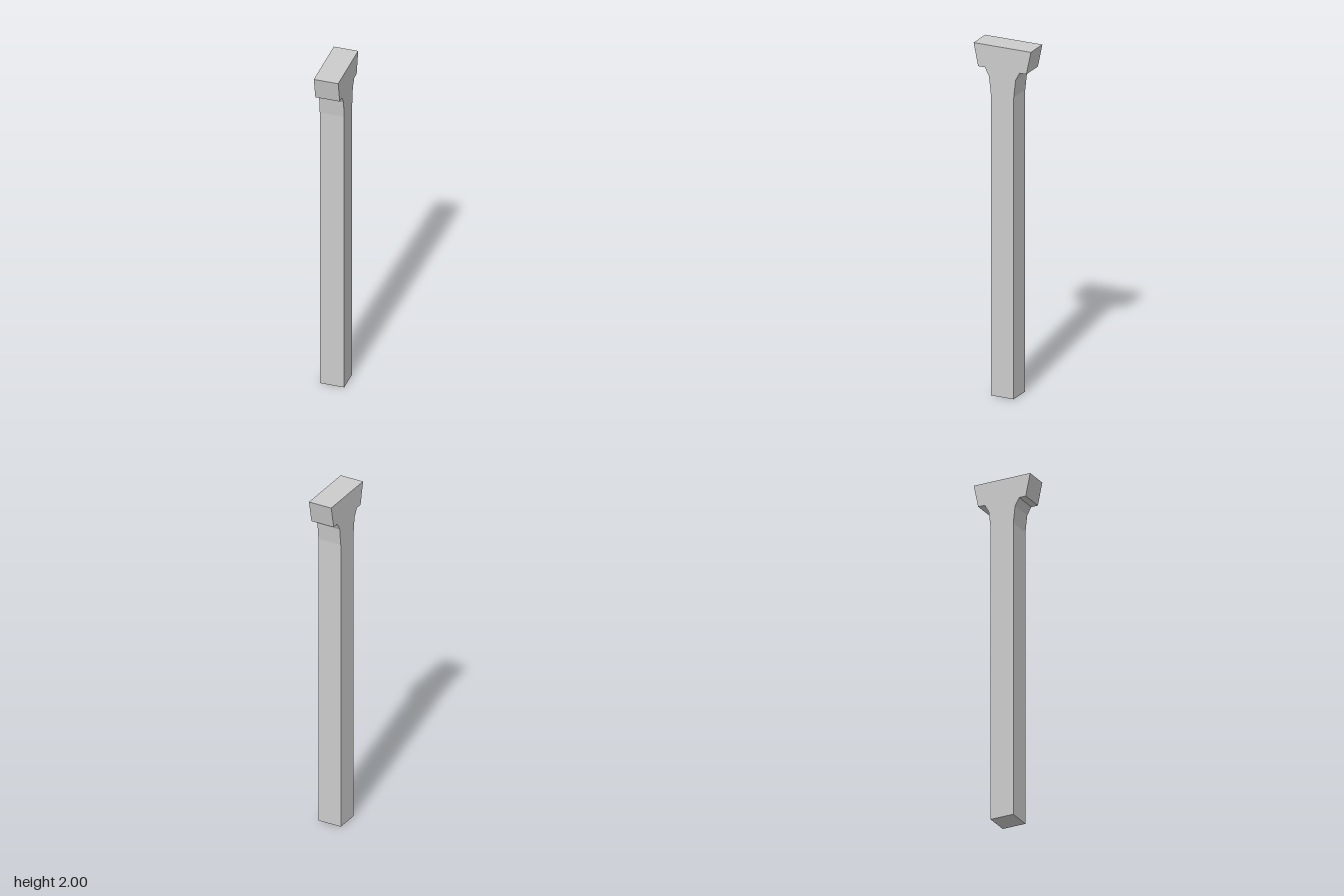
import * as THREE from 'three';

const WIDTH = 0.138;

// Half outline of the post, from the foot to the top: [z, y]
const halfProfile = [
  [0.069, 0],
  [0.069, 1.725], // shaft ends, flare begins
  [0.08, 1.825],
  [0.105, 1.87], // underside of the capital
  [0.145, 1.87],
  [0.172, 2],
];

export function createModel() {
  const group = new THREE.Group();
  group.name = 'post';

  // Mirror the half outline to close the T-shaped silhouette
  const right = halfProfile.map(([z, y]) => new THREE.Vector2(z, y));
  const left = halfProfile.map(([z, y]) => new THREE.Vector2(-z, y)).reverse();
  const shape = new THREE.Shape([...right, ...left]);

  // Extrude across the width, then turn the outline into the z-y plane
  const geometry = new THREE.ExtrudeGeometry(shape, { depth: WIDTH, bevelEnabled: false });
  geometry.translate(0, 0, -WIDTH / 2);
  geometry.rotateY(-Math.PI / 2);

  const material = new THREE.MeshStandardMaterial({ color: 0xcccccc, flatShading: true });
  const post = new THREE.Mesh(geometry, material);
  post.name = 'shaftWithCapital';
  group.add(post);
  return group;
}
